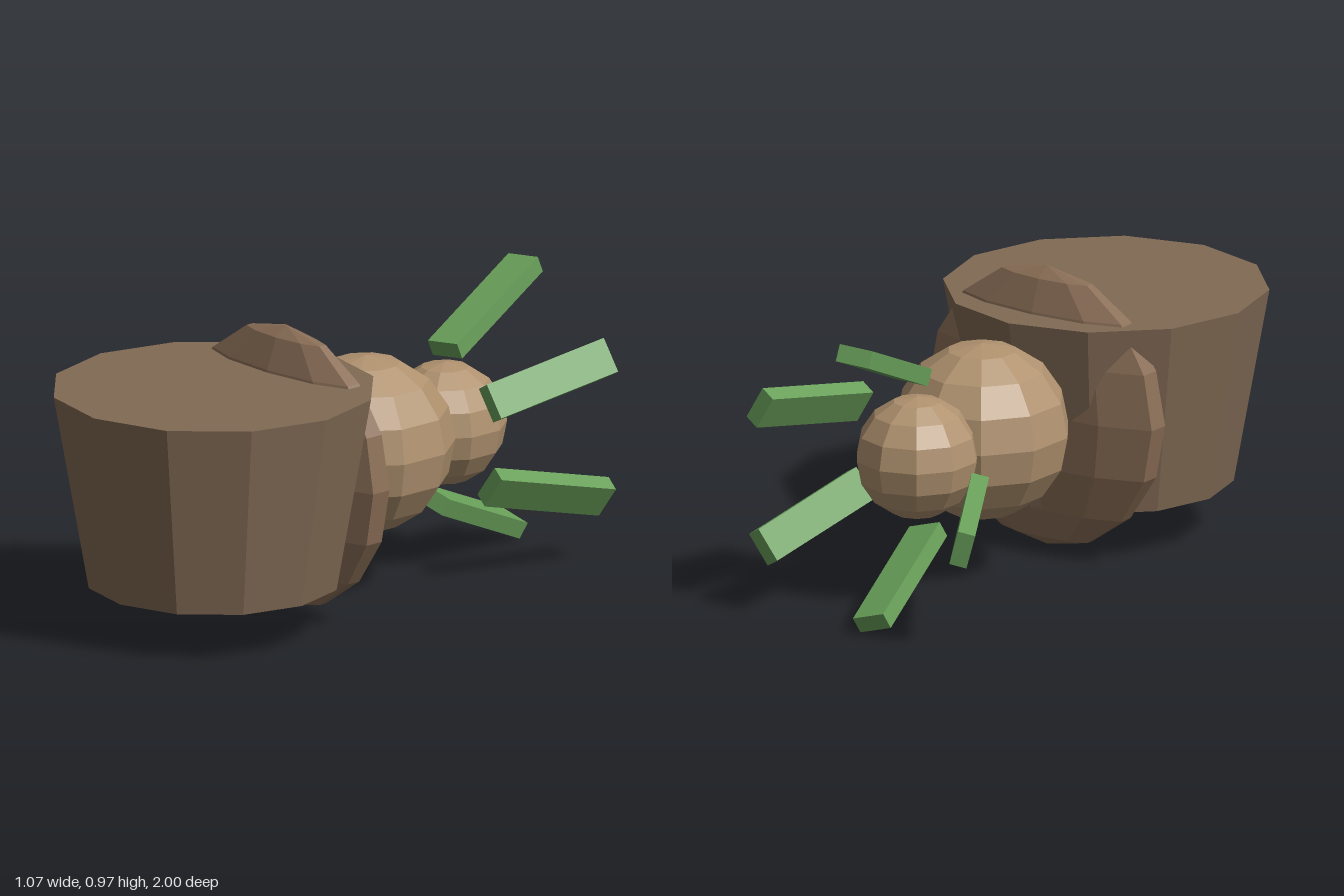
import * as THREE from 'three';

const potMat = new THREE.MeshStandardMaterial({ color: 0x816a54 });
potMat.name = 'potBrown';
const discMat = new THREE.MeshStandardMaterial({ color: 0x8b6f57 });
discMat.name = 'discBrown';
const bodyMat = new THREE.MeshStandardMaterial({ color: 0xb0926f });
bodyMat.name = 'tan';
const leafMat = new THREE.MeshStandardMaterial({ color: 0x69a05a });
leafMat.name = 'leafGreen';

// Separate the faces so each facet is shaded flat
function faceted(geometry) {
  const flat = geometry.toNonIndexed();
  flat.computeVertexNormals();
  return flat;
}

function addMesh(group, name, geometry, material) {
  const mesh = new THREE.Mesh(geometry, material);
  mesh.name = name;
  group.add(mesh);
  return mesh;
}

// Ten-sided ball with a row of corners facing front and back
function addBall(group, name, radius, y, z, material, depth = 1) {
  const geometry = new THREE.SphereGeometry(radius, 10, 8);
  geometry.rotateY(Math.PI / 2);
  geometry.scale(1, 1, depth);
  addMesh(group, name, faceted(geometry), material).position.set(0, y, z);
}

// Flat bar from base to tip; angle is the way its broad face looks around z
function addLeaf(group, name, base, tip, angle) {
  const a = new THREE.Vector3(...base);
  const b = new THREE.Vector3(...tip);
  const along = b.clone().sub(a);
  const length = along.length();
  along.normalize();
  const rad = THREE.MathUtils.degToRad(angle);
  const across = new THREE.Vector3(-Math.sin(rad), Math.cos(rad), 0);
  across.addScaledVector(along, -across.dot(along)).normalize();
  const out = new THREE.Vector3().crossVectors(across, along);
  const leaf = addMesh(group, name, new THREE.BoxGeometry(0.12, length, 0.058), leafMat);
  leaf.quaternion.setFromRotationMatrix(new THREE.Matrix4().makeBasis(across, along, out));
  leaf.position.copy(a).add(b).multiplyScalar(0.5);
}

export function createModel() {
  const group = new THREE.Group();
  group.name = 'model';

  // Tapered twelve-sided pot
  const pot = faceted(new THREE.CylinderGeometry(0.535, 0.418, 0.655, 12));
  addMesh(group, 'pot', pot, potMat).position.set(0, 0.4825, 0.462);

  // Flattened disc, body and head in a row behind the pot
  addBall(group, 'disc', 0.475, 0.482, 0.137, discMat, 0.25);
  addBall(group, 'body', 0.295, 0.485, -0.22, bodyMat);
  addBall(group, 'head', 0.205, 0.482, -0.575, bodyMat);

  // Five leaves fanning out around the head
  const leaves = [
    ['topLeaf', [0.043, 0.745, -0.535], [-0.045, 0.933, -0.98], 90],
    ['upperLeftLeaf', [0.265, 0.61, -0.527], [0.33, 0.69, -0.99], 28],
    ['lowerLeftLeaf', [0.26, 0.325, -0.53], [0.32, 0.215, -0.985], -31],
    ['bottomLeaf', [-0.02, 0.222, -0.54], [-0.115, 0.035, -0.978], -104],
    ['rightLeaf', [-0.225, 0.40, -0.555], [-0.468, 0.345, -0.96], 197],
  ];
  for (const leaf of leaves) addLeaf(group, ...leaf);

  return group;
}
